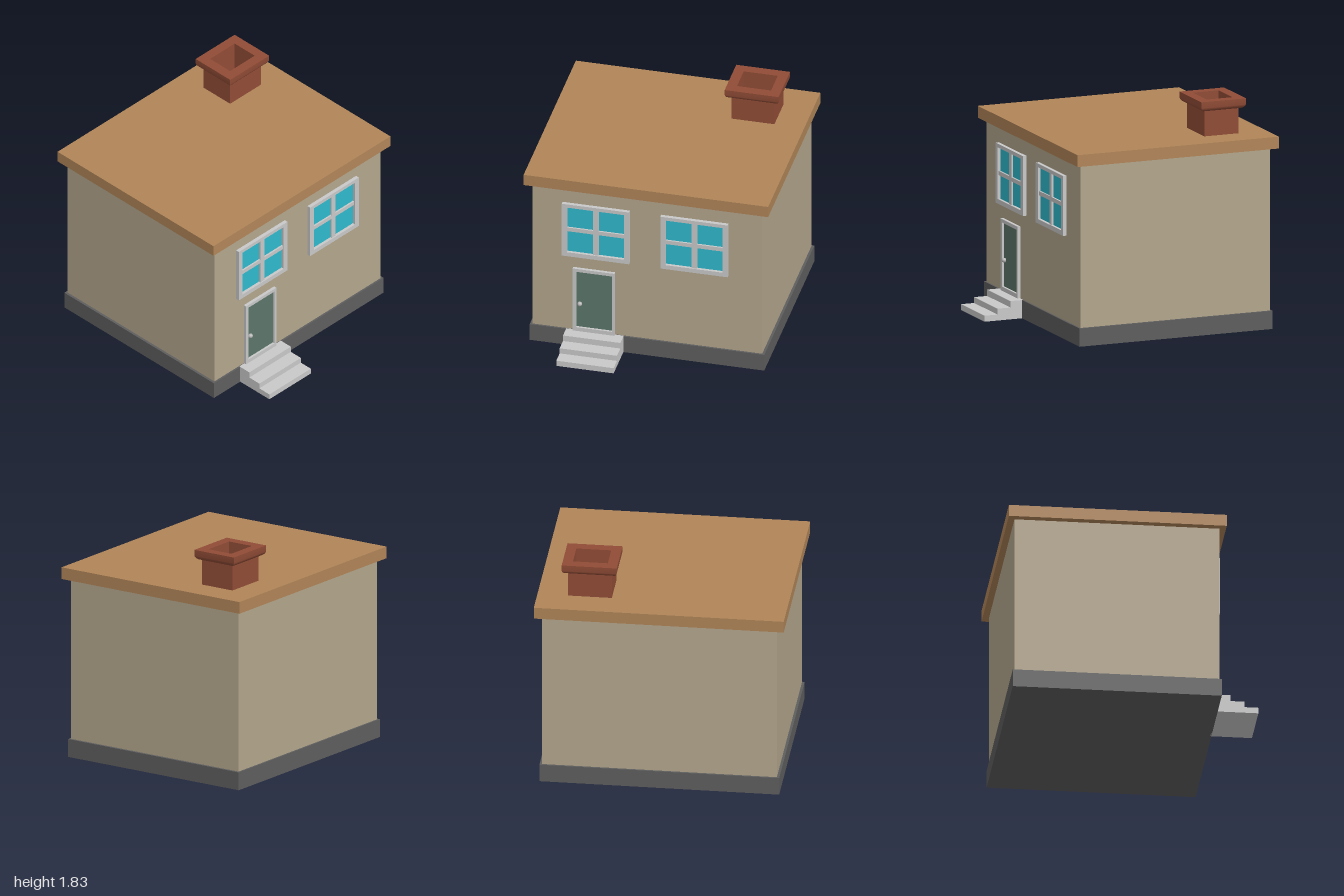
import * as THREE from 'three';
import { toCreasedNormals } from 'three/addons/utils/BufferGeometryUtils.js';

const paint = (name, color) => {
  const m = new THREE.MeshStandardMaterial({ color });
  m.name = name;
  return m;
};

function addMesh(parent, name, geometry, material) {
  const mesh = new THREE.Mesh(geometry, material);
  mesh.name = name;
  parent.add(mesh);
  return mesh;
}

// Box given by its limits on each axis
function addBox(parent, name, material, [x0, x1], [y0, y1], [z0, z1]) {
  const mesh = addMesh(parent, name, new THREE.BoxGeometry(x1 - x0, y1 - y0, z1 - z0), material);
  mesh.position.set((x0 + x1) / 2, (y0 + y1) / 2, (z0 + z1) / 2);
  return mesh;
}

// Rectangular frame with one opening, extruded towards the front
function addFrame(parent, material, [x0, x1], [y0, y1], [z0, z1], [ix0, ix1], [iy0, iy1]) {
  const rect = (a, b, c, d) => [[a, c], [b, c], [b, d], [a, d]].map(([x, y]) => new THREE.Vector2(x, y));
  const shape = new THREE.Shape(rect(x0, x1, y0, y1));
  shape.holes.push(new THREE.Path(rect(ix0, ix1, iy0, iy1)));
  const geometry = new THREE.ExtrudeGeometry(shape, { depth: z1 - z0, bevelEnabled: false });
  addMesh(parent, 'frame', geometry, material).position.z = z0;
}

// Sweeps a profile of [inset, y] pairs around a rectangle
function rectangularSweep(halfX, halfZ, profile) {
  const corners = [[1, 1], [1, -1], [-1, -1], [-1, 1]];
  const positions = [];
  const point = (i, c) => {
    const [inset, y] = profile[i];
    const [sx, sz] = corners[c % 4];
    return [sx * (halfX - inset), y, sz * (halfZ - inset)];
  };
  for (let i = 0; i < profile.length - 1; i++) {
    for (let c = 0; c < 4; c++) {
      const a = point(i, c), b = point(i, c + 1), d = point(i + 1, c + 1), e = point(i + 1, c);
      positions.push(...a, ...b, ...d, ...a, ...d, ...e);
    }
  }
  const geometry = new THREE.BufferGeometry();
  geometry.setAttribute('position', new THREE.Float32BufferAttribute(positions, 3));
  return toCreasedNormals(geometry, 0.5);
}

export function createModel() {
  const house = new THREE.Group();
  house.name = 'house';
  const wall = paint('wall plaster', 0xb3a68c);
  const stone = paint('dark foundation', 0x5e5e5e);
  const roofing = paint('roof tan', 0xb18558);
  const brick = paint('chimney red', 0x914c36);
  const trim = paint('light grey trim', 0xc9c9c9);
  const glass = paint('window blue', 0x2fb9cd);
  const doorGreen = paint('door green', 0x5c766a);
  const metal = paint('knob metal', 0xb8b8b8);

  // Main body
  addBox(house, 'foundation', stone, [-0.945, 0.945], [0, 0.145], [-0.965, 0.68]);
  addBox(house, 'walls', wall, [-0.925, 0.925], [0.145, 1.45], [-0.95, 0.665]);
  addBox(house, 'roof', roofing, [-0.985, 0.985], [1.45, 1.545], [-1, 0.715]);

  // Hollow chimney with a rim rounded underneath
  const chimney = new THREE.Group();
  chimney.name = 'chimney';
  chimney.position.set(0.572, 0, -0.615);
  const profile = [[0.044, 1.545], [0.044, 1.748]];
  for (let i = 0; i <= 8; i++) {
    const a = (i / 8) * Math.PI / 2;
    profile.push([0.042 * (1 - Math.sin(a)), 1.79 - 0.042 * Math.cos(a)]);
  }
  profile.push([0, 1.83], [0.08, 1.83], [0.08, 1.55]);
  addMesh(chimney, 'chimneyShell', rectangularSweep(0.217, 0.19, profile), brick);
  addBox(chimney, 'flueFloor', brick, [-0.14, 0.14], [1.545, 1.555], [-0.115, 0.115]);
  house.add(chimney);

  // Upper windows with crossed bars
  for (const [name, x] of [['rightWindow', -0.412], ['leftWindow', 0.382]]) {
    const win = new THREE.Group();
    win.name = name;
    win.position.x = x;
    addFrame(win, trim, [-0.271, 0.271], [0.83, 1.31], [0.665, 0.695], [-0.229, 0.229], [0.867, 1.28]);
    addBox(win, 'pane', glass, [-0.229, 0.229], [0.867, 1.28], [0.665, 0.671]);
    addBox(win, 'uprightBar', trim, [-0.022, 0.022], [0.867, 1.28], [0.668, 0.686]);
    addBox(win, 'crossBar', trim, [-0.229, 0.229], [1.056, 1.09], [0.668, 0.685]);
    house.add(win);
  }

  // Front door
  const door = new THREE.Group();
  door.name = 'door';
  addFrame(door, trim, [-0.597, -0.26], [0.145, 0.72], [0.665, 0.69], [-0.569, -0.28], [0.18, 0.693]);
  addBox(door, 'doorPanel', doorGreen, [-0.569, -0.28], [0.18, 0.693], [0.665, 0.672]);
  addMesh(door, 'doorKnob', new THREE.SphereGeometry(0.019, 20, 14), metal).position.set(-0.541, 0.395, 0.683);
  house.add(door);

  // Steps as one stair-shaped side outline
  const outline = [[0.67, 0], [1, 0], [1, 0.048], [0.89, 0.048], [0.89, 0.095], [0.78, 0.095], [0.78, 0.146], [0.67, 0.146]];
  const stair = new THREE.Shape(outline.map(([z, y]) => new THREE.Vector2(z, y)));
  const steps = addMesh(house, 'steps', new THREE.ExtrudeGeometry(stair, { depth: 0.462, bevelEnabled: false }), trim);
  steps.rotation.y = -Math.PI / 2;
  steps.position.x = -0.19;

  return house;
}
